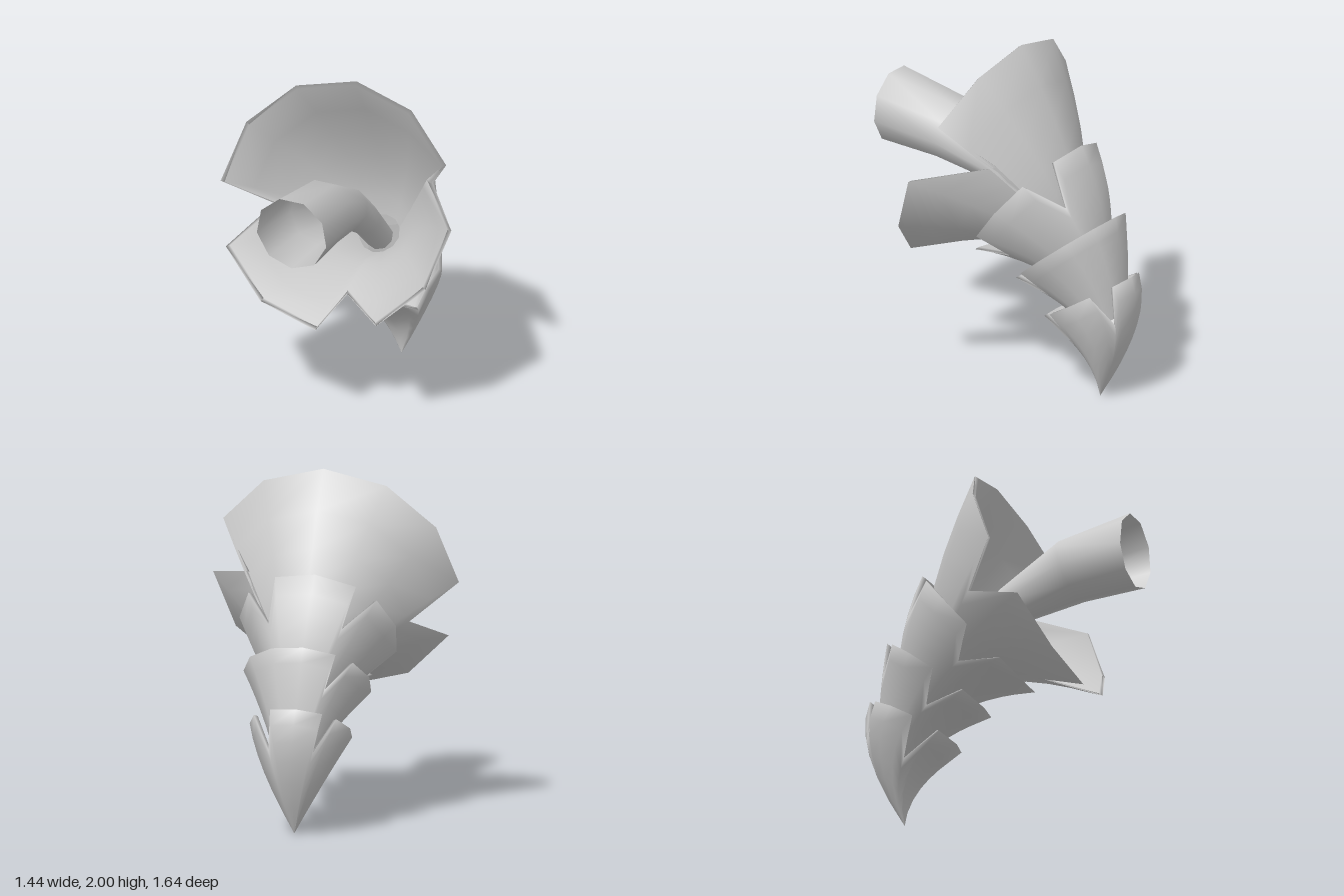
import * as THREE from 'three';

const V = (x, y, z) => new THREE.Vector3(x, y, z);
const material = new THREE.MeshStandardMaterial({ color: 0xcccccc, side: THREE.DoubleSide });

// Skin a list of closed rings into one smooth surface
function skin(name, rings) {
  const n = rings[0].length;
  const index = [];
  for (let r = 0; r < rings.length - 1; r++) {
    for (let c = 0; c < n; c++) {
      const a = r * n + c, b = r * n + (c + 1) % n;
      index.push(a, a + n, b, b, a + n, b + n);
    }
  }
  const geometry = new THREE.BufferGeometry().setFromPoints(rings.flat());
  geometry.setIndex(index);
  geometry.computeVertexNormals();
  const mesh = new THREE.Mesh(geometry, material);
  mesh.name = name;
  return mesh;
}

// Columns around a cup: a point about every 30 degrees on each petal [from, to, notch],
// then one shorter column for the notch before the next petal
function petalColumns(petals, notchReach) {
  return petals.flatMap(([from, to, notch]) => {
    const count = Math.round((to - from) / 30);
    const columns = [];
    for (let k = 0; k <= count; k++) {
      columns.push({ angle: from + (to - from) * k / count, reach: 1 });
    }
    columns.push({ angle: notch, reach: notchReach });
    return columns;
  });
}

// Petalled cup: swells from a base ring past a middle ring to an oval rim that runs
// from back to front, then folds down the inside to give the petals thickness
function cup(name, petals, notchReach,
  { base, baseRadius, middle, middleRadius, back, front, halfWidth }) {
  const up = V(0, 0.62, -0.78), steps = 6, thickness = 0.025;
  const backPoint = V(0, ...back), frontPoint = V(0, ...front);
  const centre = backPoint.clone().lerp(frontPoint, 0.5);
  const toBack = backPoint.sub(centre);
  const columns = petalColumns(petals, notchReach).map(({ angle, reach }) => {
    const s = Math.sin(angle * Math.PI / 180), c = Math.cos(angle * Math.PI / 180);
    const outward = V(s, 0, 0).addScaledVector(up, c);
    const curve = new THREE.QuadraticBezierCurve3(
      V(...base).addScaledVector(outward, baseRadius),
      V(0, ...middle).addScaledVector(outward, middleRadius),
      V(halfWidth * s, 0, 0).add(centre).addScaledVector(toBack, c));
    return { outward, curve, reach };
  });
  const ring = (t, inset) => columns.map(({ outward, curve, reach }) =>
    curve.getPoint(t * reach).addScaledVector(outward, -inset * t));
  const rings = [];
  for (let i = 0; i <= steps; i++) rings.push(ring(i / steps, 0));
  for (let i = steps; i >= 0; i--) rings.push(ring(i / steps, thickness));
  return skin(name, rings);
}

// Open widening tube that bends out of the bloom: [y, z, radius]
function pistil() {
  const stations = [[0.86, -0.36, 0.08], [1.06, -0.17, 0.09], [1.24, 0.06, 0.12],
    [1.385, 0.42, 0.19], [1.44, 0.82, 0.22]];
  const sides = 9;
  const path = new THREE.CatmullRomCurve3(stations.map(([y, z]) => V(0, y, z)));
  const rings = stations.map(([y, z, r], i) => {
    const t = i / (stations.length - 1);
    const along = t === 1 ? V(0, 0, 1) : path.getTangent(t);
    const up = V(0, along.z, -along.y);
    return Array.from({ length: sides }, (_, k) => {
      const angle = Math.PI + k / sides * Math.PI * 2;
      return V(r * Math.sin(angle), y, z).addScaledVector(up, r * Math.cos(angle));
    });
  });
  return skin('pistilTube', rings);
}

export function createModel() {
  const model = new THREE.Group();
  model.name = 'hornFlower';

  // Three nested sheaths; angles run from the back towards the left.
  // The middle one has its back and left petals joined.
  const frontPetal = [147, 213, 230], rightPetal = [248, 304, 319];
  const fourPetals = [[-37, 24, 36], [53, 112, 130], frontPetal, rightPetal];
  const threePetals = [[-37, 112, 130], frontPetal, rightPetal];
  model.add(cup('tipSheath', fourPetals, 0.62, {
    base: [0.02, 0, -0.61], baseRadius: 0, middle: [0.385, -0.755], middleRadius: 0.2,
    back: [0.745, -0.79], front: [0.44, -0.28], halfWidth: 0.295,
  }));
  model.add(cup('middleSheath', threePetals, 0.62, {
    base: [0, 0.45, -0.66], baseRadius: 0.12, middle: [0.69, -0.565], middleRadius: 0.22,
    back: [1.08, -0.67], front: [0.635, -0.11], halfWidth: 0.37,
  }));
  model.add(cup('upperSheath', fourPetals, 0.62, {
    base: [0, 0.72, -0.52], baseRadius: 0.14, middle: [0.96, -0.38], middleRadius: 0.31,
    back: [1.46, -0.43], front: [0.745, 0.14], halfWidth: 0.46,
  }));

  // Flared bloom with a broad upper petal, a left petal and a lower right petal
  model.add(cup('bloom', [[-90, 60, 56], [90, 150, 172], [180, 240, 263]], 0.68, {
    base: [0, 0.88, -0.36], baseRadius: 0.12, middle: [1.1, -0.22], middleRadius: 0.34,
    back: [2, -0.05], front: [0.67, 0.5], halfWidth: 0.72,
  }));

  model.add(pistil());
  return model;
}
